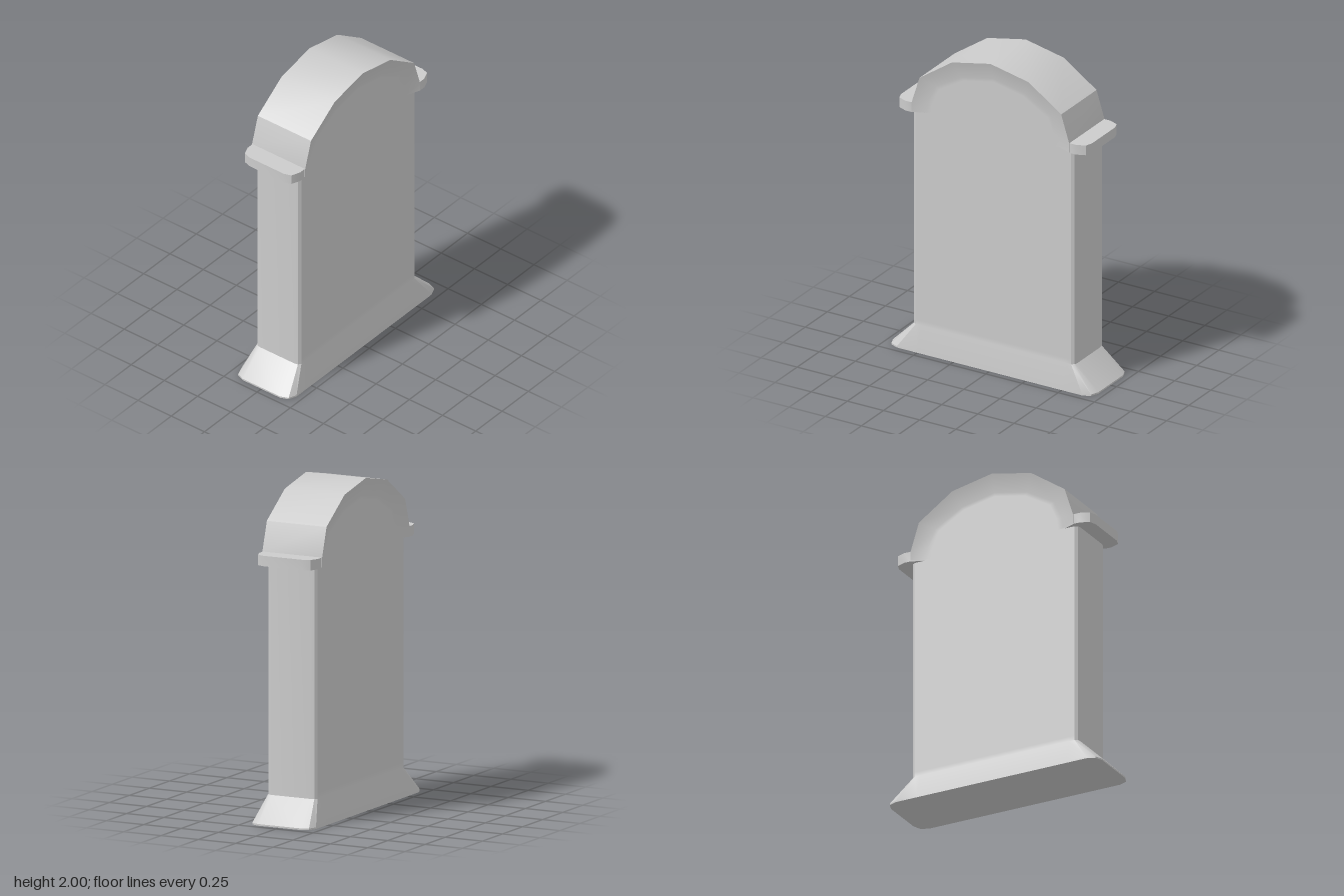
import * as THREE from 'three';
import { toCreasedNormals } from 'three/addons/utils/BufferGeometryUtils.js';

const CREASE = 0.5;

// Skin a list of equally long rows of [x, y, z] points
function skin(rows, closed) {
  const n = rows[0].length;
  const pos = rows.flat(2);
  const index = [];
  for (let i = 0; i < rows.length - 1; i++) {
    for (let j = 0; j < (closed ? n : n - 1); j++) {
      const k = (j + 1) % n;
      const a = i * n + j, b = i * n + k, c = b + n, d = a + n;
      index.push(a, d, c, a, c, b);
    }
  }
  const g = new THREE.BufferGeometry();
  g.setAttribute('position', new THREE.Float32BufferAttribute(pos, 3));
  g.setIndex(index);
  return toCreasedNormals(g.toNonIndexed(), CREASE);
}

// Repeat one corner of a plan outline around all four quadrants
function ring(corner, y) {
  const back = [...corner].reverse();
  return [
    ...corner.map(([x, z]) => [x, y, z]),
    ...back.map(([x, z]) => [-x, y, z]),
    ...corner.map(([x, z]) => [-x, y, -z]),
    ...back.map(([x, z]) => [x, y, -z]),
  ];
}

// Mirror the right half of an arch (ending on the centre line) to the left
function arch(half, z) {
  const left = half.slice(0, -1).reverse().map(([x, y]) => [-x, y]);
  return [...half, ...left].map(([x, y]) => [x, y, z]);
}

export function createModel() {
  const group = new THREE.Group();
  const material = new THREE.MeshStandardMaterial({ color: 0xcccccc });
  const add = (name, geometry) => {
    const mesh = new THREE.Mesh(geometry, material);
    mesh.name = name;
    group.add(mesh);
    return mesh;
  };

  // Slab with a flared foot
  const foot = [[0.71, 0.14], [0.69, 0.19], [0.64, 0.21], [0.5, 0.21]];
  const shaft = [[0.56, 0.13], [0.555, 0.153], [0.537, 0.165], [0.5, 0.165]];
  const centre = foot.map(() => [0, 0]);
  add('slab', skin([
    ring(centre, 0), ring(foot, 0), ring(foot, 0.01),
    ring(shaft, 0.16), ring(shaft, 0.19), ring(shaft, 1.56),
  ], true));

  // Arched hood, its rim sloping back to the flat panel on both faces
  const baseY = 1.555, rimZ = 0.2, panelZ = 0.165;
  const outer = [[0.545, baseY], [0.545, 1.615], [0.49, 1.79], [0.265, 1.945], [0, 2]];
  const inner = [[0.46, baseY], [0.45, 1.63], [0.4, 1.74], [0.22, 1.845], [0, 1.89]];
  const panel = inner.map(([x, y]) => [x * 0.93, baseY + (y - baseY) * 0.93]);
  const middle = inner.map(() => [0, baseY]);
  add('archedHood', skin([
    arch(middle, panelZ), arch(panel, panelZ), arch(inner, panelZ), arch(outer, rimZ),
    arch(outer, -rimZ), arch(inner, -panelZ), arch(panel, -panelZ), arch(middle, -panelZ),
  ], false));

  // Ledges projecting at the spring of the arch
  const edge = [[0.46, 0.16], [0.55, 0.197], [0.59, 0.197], [0.645, 0.175], [0.66, 0.13]];
  const plan = [...edge, ...[...edge].reverse().map(([x, z]) => [x, -z])];
  const shape = new THREE.Shape(plan.map(([x, z]) => new THREE.Vector2(x, z)));
  const ledge = new THREE.ExtrudeGeometry(shape, { depth: 0.063, bevelEnabled: false });
  ledge.rotateX(-Math.PI / 2).translate(0, 1.552, 0);
  const ledgeGeometry = toCreasedNormals(ledge, CREASE);
  add('leftLedge', ledgeGeometry);
  add('rightLedge', ledgeGeometry).rotation.y = Math.PI;

  return group;
}
